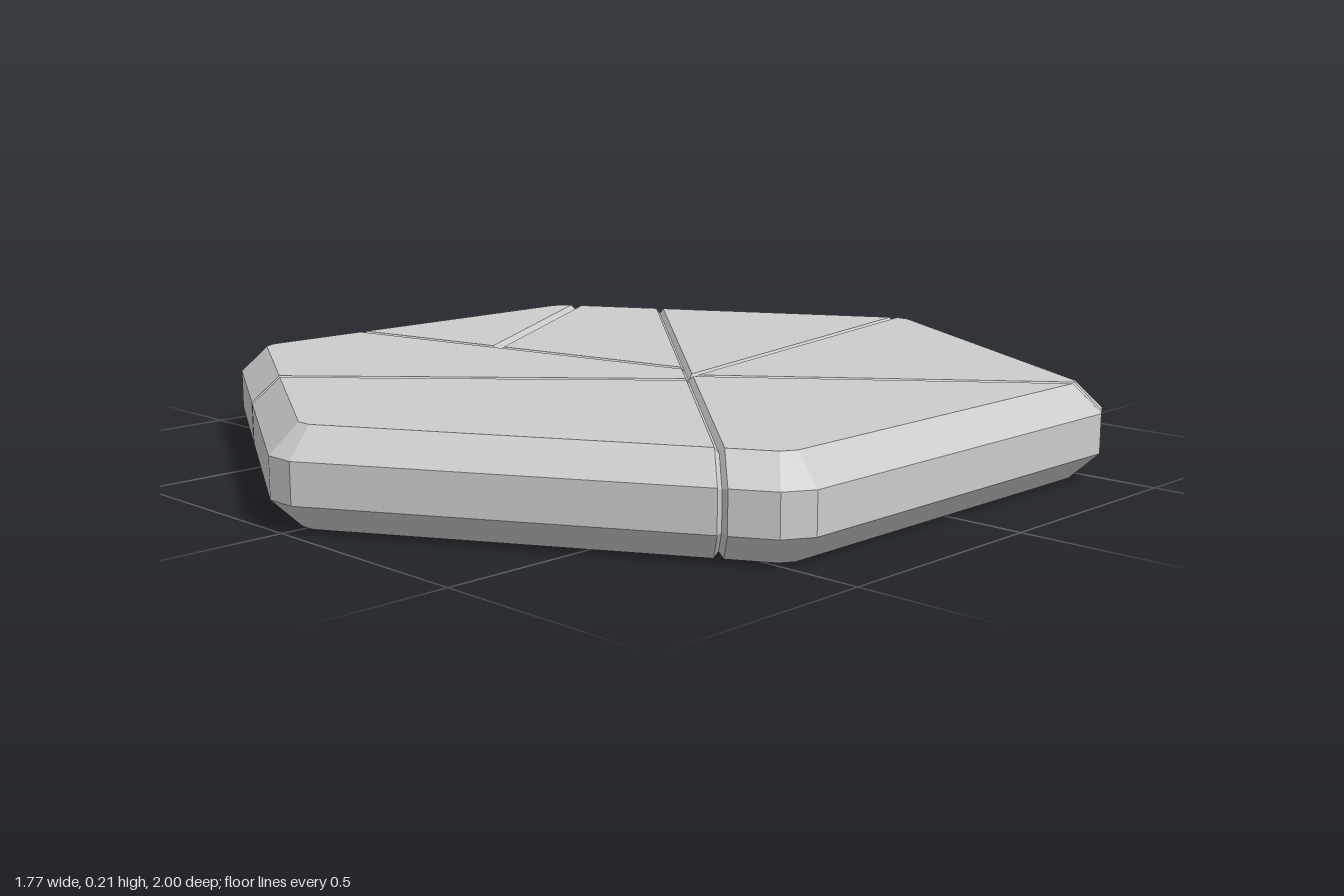
import * as THREE from 'three';
import { ConvexGeometry } from 'three/addons/geometries/ConvexGeometry.js';

// Cracks in plan: start [x, z], end [x, z], half width of the groove at the surface
const CRACKS = {
  main: [[-0.62, -0.66], [0.75, 0.575], 0.009],
  back: [[-0.037, -1], [0.18, 0.055], 0.009],
  left: [[0.86, -0.49], [0.18, 0.055], 0.009],
  front: [[-0.49, 0.73], [0.21, 0.09], 0.009],
  right: [[-0.88, 0.2], [0.11, 0], 0.009],
  branch: [[-0.81, -0.55], [-0.41, 0.1], 0.015],
};

// Slab shards: name, a point inside, cracks that bound it
const SHARDS = [
  ['backRightShard', [-0.1, -0.6], ['main', 'back']],
  ['backLeftShard', [0.4, -0.5], ['back', 'left']],
  ['leftShard', [0.6, 0.2], ['left', 'main']],
  ['frontShard', [0.1, 0.6], ['main', 'front']],
  ['frontRightShard', [-0.5, 0.4], ['main', 'front', 'right']],
  ['rightShard', [-0.3, -0.2], ['main', 'right', 'branch']],
  ['rightCornerShard', [-0.75, -0.1], ['right', 'branch']],
];

// Hexagon rings: y, apothem, length cut from each corner
const OUTER = [[0, 0.823, 0.02], [0.06, 0.883, 0.04], [0.147, 0.883, 0.04], [0.207, 0.823, 0.02]];
// The same rings sunk below the surface, where neighbouring shards meet
const SUNK = [[0.012, 0.818, 0.02], [0.065, 0.871, 0.04], [0.142, 0.871, 0.04], [0.195, 0.818, 0.02]];

// Hexagon with trimmed corners, pointing along z
function hexagon(apothem, cut) {
  const radius = apothem / Math.cos(Math.PI / 6);
  const corner = (i) => {
    const a = (i * Math.PI) / 3;
    return [radius * Math.sin(a), radius * Math.cos(a)];
  };
  const t = cut / radius;
  const points = [];
  for (let i = 0; i < 6; i++) {
    const c = corner(i);
    for (const n of [corner(i - 1), corner(i + 1)]) {
      points.push([c[0] + (n[0] - c[0]) * t, c[1] + (n[1] - c[1]) * t]);
    }
  }
  return points;
}

// Keep the part of a polygon on the inside point's side of a crack
function clip(polygon, [a, b, halfWidth], inside, gap) {
  const dx = b[0] - a[0], dz = b[1] - a[1], length = Math.hypot(dx, dz);
  const side = (p) => (dx * (p[1] - a[1]) - dz * (p[0] - a[0])) / length;
  const sign = Math.sign(side(inside));
  const dist = (p) => sign * side(p) - halfWidth * gap;
  const result = [];
  polygon.forEach((p, i) => {
    const q = polygon[(i + 1) % polygon.length];
    const dp = dist(p), dq = dist(q);
    if (dp >= 0) result.push(p);
    if (dp * dq < 0) {
      const t = dp / (dp - dq);
      result.push([p[0] + (q[0] - p[0]) * t, p[1] + (q[1] - p[1]) * t]);
    }
  });
  return result;
}

export function createModel() {
  const group = new THREE.Group();
  group.name = 'crackedHexTile';
  const material = new THREE.MeshStandardMaterial({ color: 0xcccccc, flatShading: true });

  for (const [name, inside, cracks] of SHARDS) {
    const points = [];
    // Wide gap at the surface, none below it: bevelled V grooves
    for (const [rings, gap] of [[OUTER, 1], [SUNK, 0]]) {
      for (const [y, apothem, cut] of rings) {
        let polygon = hexagon(apothem, cut);
        for (const crack of cracks) polygon = clip(polygon, CRACKS[crack], inside, gap);
        for (const [x, z] of polygon) points.push(new THREE.Vector3(x, y, z));
      }
    }
    const mesh = new THREE.Mesh(new ConvexGeometry(points), material);
    mesh.name = name;
    group.add(mesh);
  }
  return group;
}
